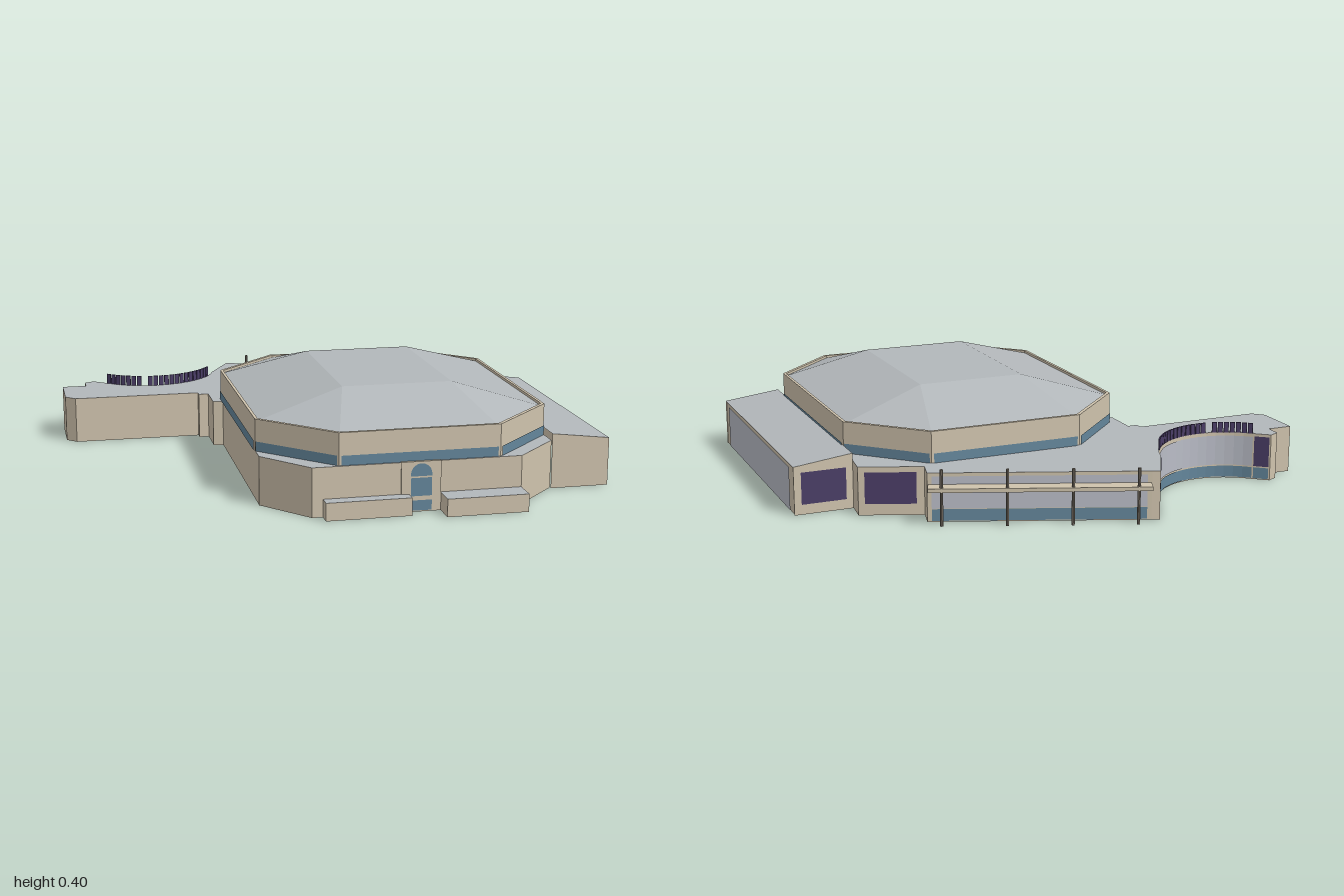
import * as THREE from 'three';

const mat = (name, color) => {
  const m = new THREE.MeshStandardMaterial({ color, side: THREE.DoubleSide, flatShading: true });
  m.name = name;
  return m;
};

export function createModel() {
  const model = new THREE.Group();
  const tan = mat('tan wall', 0xcfc3ad), grey = mat('roof grey', 0xb2b7ba);
  const pale = mat('pale panel', 0xb9bcc6), blue = mat('blue glass', 0x64869b);
  const purple = mat('purple panel', 0x4a3d66), steel = mat('dark post', 0x857c70);

  const add = (name, geo, material, parent = model) => {
    const mesh = new THREE.Mesh(geo, material);
    mesh.name = name;
    parent.add(mesh);
    return mesh;
  };
  // Quads between a lower and an upper line of [x, y, z] points
  const strip = (low, high, closed = false) => {
    const v = [], n = low.length;
    for (let i = 0; i < (closed ? n : n - 1); i++) {
      const j = (i + 1) % n;
      v.push(...low[i], ...low[j], ...high[j], ...low[i], ...high[j], ...high[i]);
    }
    const g = new THREE.BufferGeometry();
    g.setAttribute('position', new THREE.Float32BufferAttribute(v, 3));
    g.computeVertexNormals();
    return g;
  };
  const at = (pts, y) => pts.map(([x, z]) => [x, y, z]);
  const wall = (pts, y0, y1, closed) => strip(at(pts, y0), at(pts, y1), closed);
  // Thin plate lying just outside the wall from a to b, between fractions t0 and t1
  const plate = (name, a, b, y0, y1, material, t0 = 0, t1 = 1, off = 0.004) => {
    const dx = b[0] - a[0], dz = b[1] - a[1], len = Math.hypot(dx, dz);
    const p = t => [a[0] + dx * t - dz / len * off, a[1] + dz * t + dx / len * off];
    return add(name, wall([p(t0), p(t1)], y0, y1), material);
  };
  const outline = (pts, Type = THREE.Shape) => new Type(pts.map(([x, z]) => new THREE.Vector2(x, -z)));

  // Octagonal hall
  const octagon = [[-0.10, 0.86], [0.51, 0.86], [0.77, 0.60], [0.77, -0.24],
    [0.51, -0.50], [-0.10, -0.50], [-0.36, -0.24], [-0.36, 0.60]];
  const scaled = s => octagon.map(([x, z]) => [0.205 + (x - 0.205) * s, 0.18 + (z - 0.18) * s]);
  const inner = scaled(0.98);
  add('hallWalls', wall(octagon, 0, 0.31, true), tan);
  add('hallRim', strip(at(octagon, 0.31), at(inner, 0.31), true), tan);
  add('hallRimInside', wall(inner, 0.30, 0.31, true), tan);
  octagon.forEach((a, i) => plate('windowBand', a, octagon[(i + 1) % 8], 0.187, 0.225, blue, 0.015, 0.985));

  // Hipped roof with a flat middle
  const fl = [-0.01, 0.52], fr = [0.42, 0.52], br = [0.42, -0.14], bl = [-0.01, -0.14];
  add('hallRoof', strip(at(inner, 0.30), at([fl, fr, fr, br, br, bl, bl, fl], 0.398), true), grey);
  add('hallRoofTop', strip(at([fl, fr], 0.398), at([bl, br], 0.398)), grey);

  // Concave arc of the rear wing
  const arcPoint = (t, r = 0.29) => [-0.60 + r * Math.cos(t), -0.83 + r * Math.sin(t)];
  const arcStart = 0.278, arcMid = 0.54, arcEnd = 2.356;
  const arc = (t0, t1, n, r) =>
    Array.from({ length: n + 1 }, (_, i) => arcPoint(t0 + (t1 - t0) * i / n, r));

  // Lower storey: walls and flat roof around the hall
  const footprint = [[-0.36, 0.68], [-0.20, 0.87], [0.59, 0.87], [0.77, 0.69], [0.77, -0.35],
    [0.78, -0.44], [0.55, -0.53], [0.57, -0.61], [-0.20, -0.91], [-0.23, -0.92],
    ...arc(arcStart, arcEnd, 16),
    [-0.86, -0.67], [-0.90, -0.65], [-0.90, -0.59], [-1, -0.59], [-1, -0.40], [-0.96, -0.36],
    [-0.44, -0.36], [-0.44, -0.33], [-0.40, -0.33], [-0.40, -0.19], [-0.36, -0.18]];
  add('lowerWalls', wall(footprint, 0, 0.188, true), tan);
  const flat = outline(footprint);
  flat.holes.push(outline(scaled(0.995), THREE.Path));
  const flatRoof = add('lowerRoof', new THREE.ShapeGeometry(flat), grey);
  flatRoof.rotation.x = -Math.PI / 2;
  flatRoof.position.y = 0.188;

  // Side annex with a gently falling roof
  const slope = [[1, 0.188], [0.82, 0.21], [0.77, 0.216]];
  const edge = (z, low) => slope.map(([x, y]) => [x, low ? 0 : y, z]);
  add('annexRoof', strip(edge(0.70), edge(-0.35)), grey);
  add('annexFront', strip(edge(0.70, true), edge(0.70)), tan);
  add('annexBack', strip(edge(-0.35, true), edge(-0.35)), tan);
  add('annexSide', wall([[0.996, 0.70], [0.996, -0.35]], 0, 0.188), tan);
  plate('annexSidePanel', [0.996, 0.70], [0.996, -0.35], 0.003, 0.174, pale, 0.05, 0.945);
  plate('annexBackPanel', [1, -0.35], [0.77, -0.35], 0.04, 0.165, purple, 0.12, 0.88);
  plate('rearPanel', [0.78, -0.44], [0.55, -0.53], 0.045, 0.168, purple, 0.1, 0.88);

  // Slanted rear facade with ledge and posts
  const fa = [0.57, -0.61], fb = [-0.20, -0.91];
  plate('facadePanel', fa, fb, 0.052, 0.176, pale, 0.02, 0.98);
  plate('facadeWindow', fa, fb, 0.005, 0.05, blue, 0.02, 0.98);
  const facade = new THREE.Group();
  facade.name = 'rearLedge';
  facade.position.set((fa[0] + fb[0]) / 2, 0, (fa[1] + fb[1]) / 2);
  facade.rotation.y = -Math.atan2(fa[1] - fb[1], fa[0] - fb[0]);
  model.add(facade);
  add('ledge', new THREE.BoxGeometry(0.82, 0.015, 0.056), tan, facade).position.set(0, 0.138, -0.032);
  for (let i = 0; i < 4; i++) {
    add('post', new THREE.CylinderGeometry(0.006, 0.006, 0.216, 8), steel, facade)
      .position.set(-0.36 + i * 0.24, 0.108, -0.05);
  }

  // Curved glazing, end panels and upright fins
  add('curvedPanel', wall(arc(arcMid, arcEnd, 14, 0.286), 0.055, 0.175), pale);
  add('curvedWindow', wall(arc(arcMid, arcEnd, 14, 0.286), 0.005, 0.05), blue);
  add('curveEndPanel', wall(arc(arcStart + 0.03, arcMid, 2, 0.285), 0.04, 0.175), purple);
  plate('wingEndPanel', arcPoint(arcEnd), [-0.86, -0.67], 0.055, 0.178, purple, 0.08, 0.92);
  plate('wingEndWindow', arcPoint(arcEnd), [-0.86, -0.67], 0.005, 0.05, blue, 0.08, 0.92);
  const fins = 22;
  for (let i = 0; i < fins; i++) {
    const t = arcMid + (arcEnd - arcMid) * (i + 0.5) / fins;
    if (i === 14) continue;
    const [x, z] = arcPoint(t);
    const fin = add('fin', new THREE.BoxGeometry(0.006, 0.042, 0.019), purple);
    fin.position.set(x, 0.209, z);
    fin.rotation.y = -t;
  }

  // Front entrance: shallow portal with arched glazing
  add('portal', new THREE.BoxGeometry(0.15, 0.19, 0.012), tan).position.set(0.205, 0.095, 0.869);
  const pane = (y0, y1) => {
    add('entrancePane', new THREE.PlaneGeometry(0.08, y1 - y0), blue)
      .position.set(0.205, (y0 + y1) / 2, 0.878);
  };
  pane(0.005, 0.044);
  pane(0.06, 0.129);
  const arch = new THREE.Shape();
  arch.moveTo(-0.04, 0).lineTo(0.04, 0).lineTo(0.04, 0.008);
  arch.absarc(0, 0.008, 0.04, 0, Math.PI, false);
  add('entranceArch', new THREE.ShapeGeometry(arch), blue).position.set(0.205, 0.135, 0.878);

  // Low blocks either side of the entrance
  const topped = [tan, tan, grey, tan, tan, tan];
  for (const [x0, x1, z1] of [[-0.16, 0.16, 0.92], [0.28, 0.59, 0.963]]) {
    add('frontBlock', new THREE.BoxGeometry(x1 - x0, 0.068, z1 - 0.865), topped)
      .position.set((x0 + x1) / 2, 0.034, (z1 + 0.865) / 2);
  }
  return model;
}
